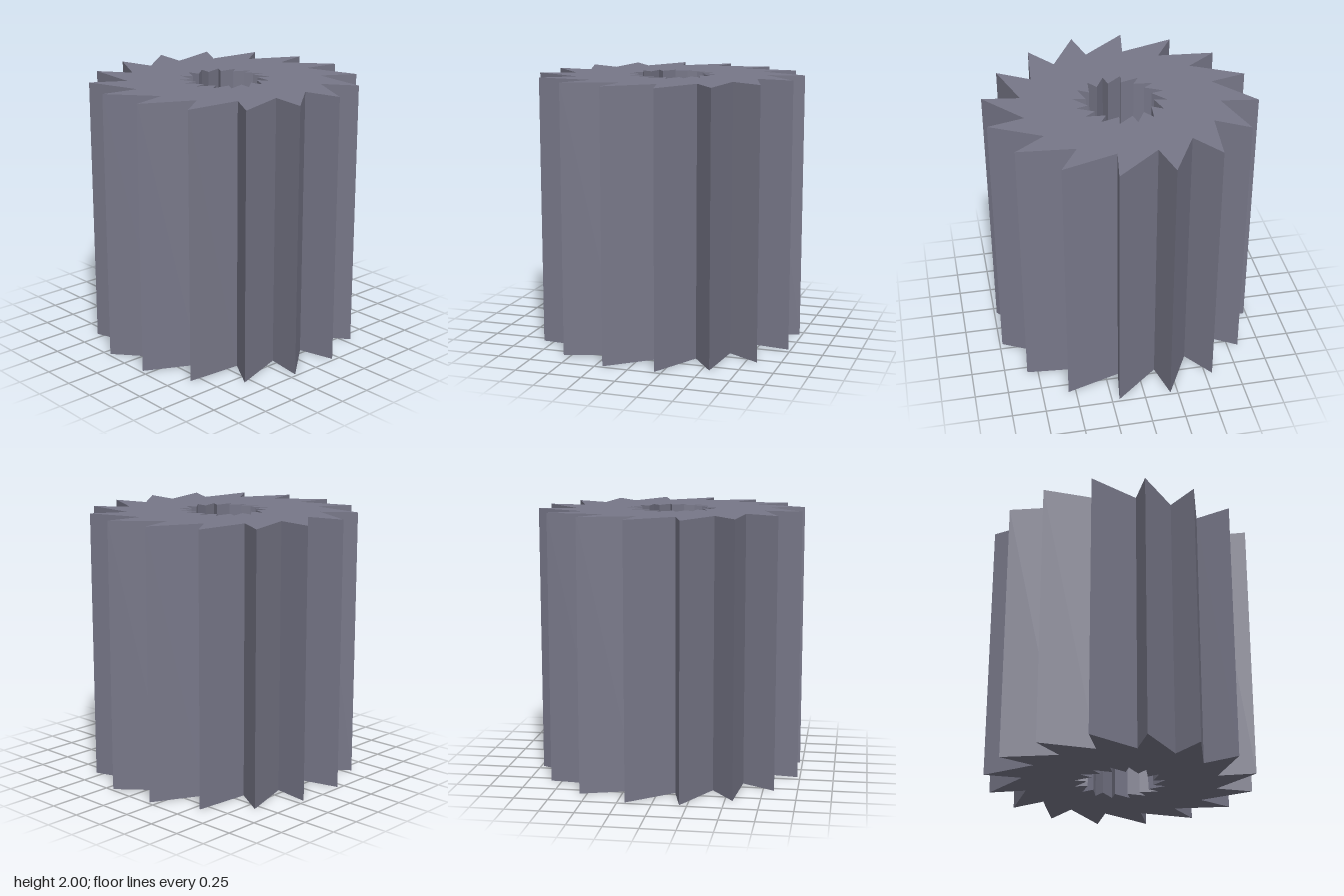
import * as THREE from 'three';

const TEETH = 16;
const HEIGHT = 2;
const BORE_SCALE = 0.34;

// Slanted sawtooth ring: each tip is followed by a root just past its angle.
function sawtoothPoints(scale) {
  const points = [];
  const add = (radius, degrees) => {
    const a = THREE.MathUtils.degToRad(degrees);
    points.push(new THREE.Vector2(Math.cos(a), Math.sin(a)).multiplyScalar(radius * scale));
  };
  for (let i = 0; i < TEETH; i++) {
    const start = (i - 0.5) * 360 / TEETH;
    add(1, start);
    add(0.722, start + 1.1);
  }
  return points;
}

export function createModel() {
  const group = new THREE.Group();
  group.name = 'ratchetGear';

  // Toothed outline with a smaller matching toothed bore
  const outline = new THREE.Shape(sawtoothPoints(1));
  outline.holes.push(new THREE.Path(sawtoothPoints(BORE_SCALE)));

  // Extruded along z, then stood upright on the ground
  const geometry = new THREE.ExtrudeGeometry(outline, { depth: HEIGHT, bevelEnabled: false });
  geometry.rotateX(Math.PI / 2);
  geometry.translate(0, HEIGHT, 0);

  const material = new THREE.MeshStandardMaterial({ color: 0x777788, flatShading: true });
  const body = new THREE.Mesh(geometry, material);
  body.name = 'toothedBody';
  group.add(body);
  return group;
}
